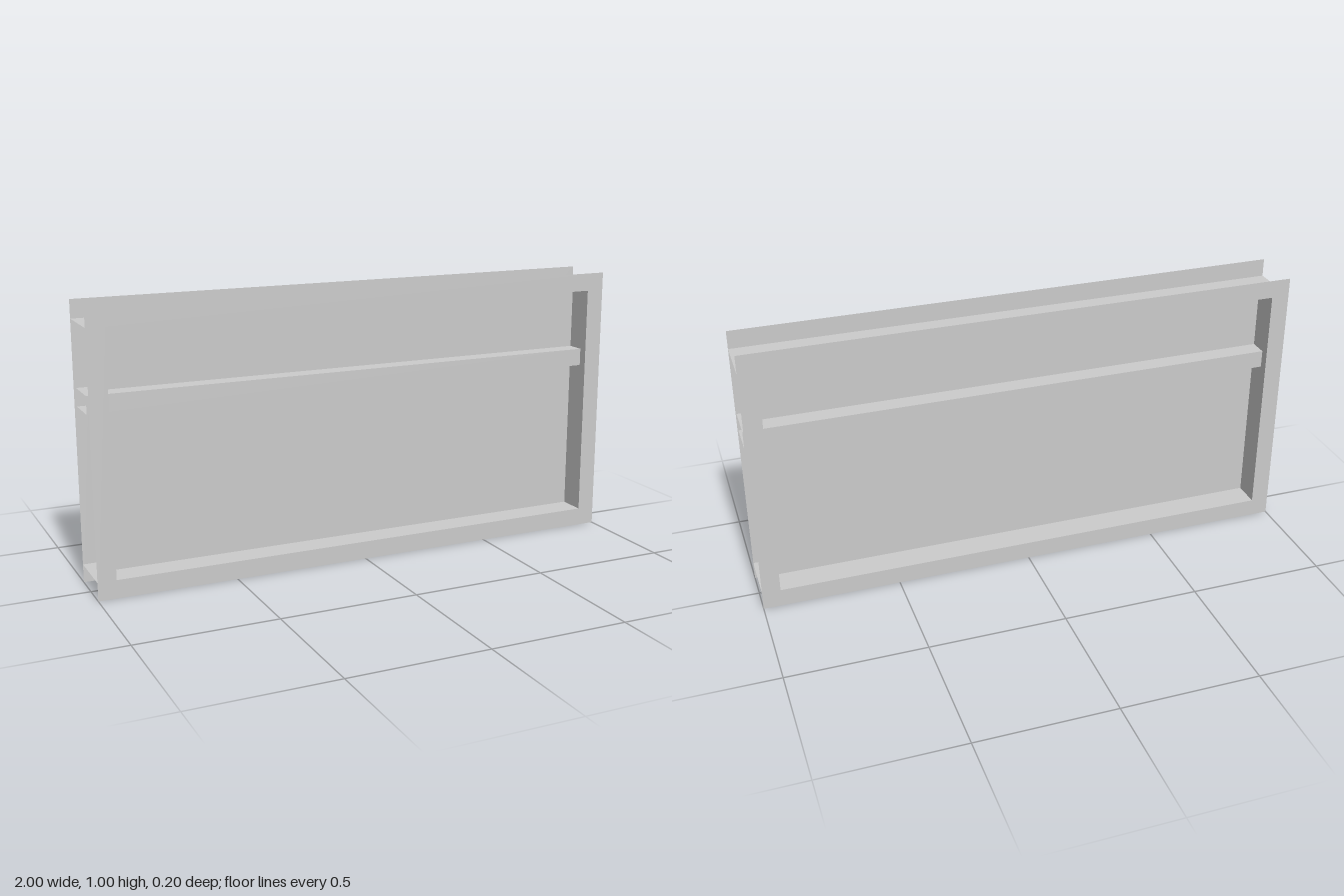
import * as THREE from 'three';

const W = 2, H = 1, D = 0.2;   // overall size
const F = 0.066;               // flange width
const BAR_LOW = 0.64, BAR_HIGH = 0.704, BAR_Z = 0.067;

const material = new THREE.MeshStandardMaterial({ color: 0xcccccc, side: THREE.DoubleSide });

function add(parent, name, geometry, x, y, z) {
  const mesh = new THREE.Mesh(geometry, material);
  mesh.name = name;
  mesh.position.set(x, y, z);
  parent.add(mesh);
  return mesh;
}

// Thin sheets facing along each axis
const sheetX = (depth, height) => new THREE.PlaneGeometry(depth, height).rotateY(Math.PI / 2);
const sheetY = (width, depth) => new THREE.PlaneGeometry(width, depth).rotateX(-Math.PI / 2);
const sheetZ = (width, height) => new THREE.PlaneGeometry(width, height);

// Flat rectangular ring
function flangeGeometry() {
  const ring = (w, h) => [[-w, -h], [w, -h], [w, h], [-w, h]].map(([x, y]) => new THREE.Vector2(x, y));
  const shape = new THREE.Shape(ring(W / 2, H / 2));
  shape.holes.push(new THREE.Path(ring(W / 2 - F, H / 2 - F).reverse()));
  return new THREE.ShapeGeometry(shape);
}

export function createModel() {
  const model = new THREE.Group();
  model.name = 'framedPanel';

  // Outer frame: two flanges joined by webs
  const frame = new THREE.Group();
  frame.name = 'frame';
  model.add(frame);
  const flange = flangeGeometry();
  add(frame, 'frontFlange', flange, 0, H / 2, D / 2);
  add(frame, 'backFlange', flange.clone().rotateY(Math.PI), 0, H / 2, -D / 2);
  add(frame, 'topWeb', sheetY(W, D), 0, H - F, 0);
  add(frame, 'bottomWeb', sheetY(W, D), 0, F, 0);
  add(frame, 'leftWeb', sheetX(D, H - 2 * F), W / 2 - F, H / 2, 0);
  add(frame, 'rightWeb', sheetX(D, H - 2 * F), F - W / 2, H / 2, 0);

  // Pane in the middle of the frame depth
  add(model, 'pane', sheetZ(W - 2 * F, H - 2 * F), 0, H / 2, 0);

  // Hollow crossbar, open at both ends, passing through the side webs
  const bar = new THREE.Group();
  bar.name = 'crossbar';
  model.add(bar);
  const barY = (BAR_LOW + BAR_HIGH) / 2, barH = BAR_HIGH - BAR_LOW;
  add(bar, 'crossbarTop', sheetY(W, 2 * BAR_Z), 0, BAR_HIGH, 0);
  add(bar, 'crossbarBottom', sheetY(W, 2 * BAR_Z), 0, BAR_LOW, 0);
  add(bar, 'crossbarFront', sheetZ(W, barH), 0, barY, BAR_Z);
  add(bar, 'crossbarBack', sheetZ(W, barH), 0, barY, -BAR_Z);

  return model;
}
